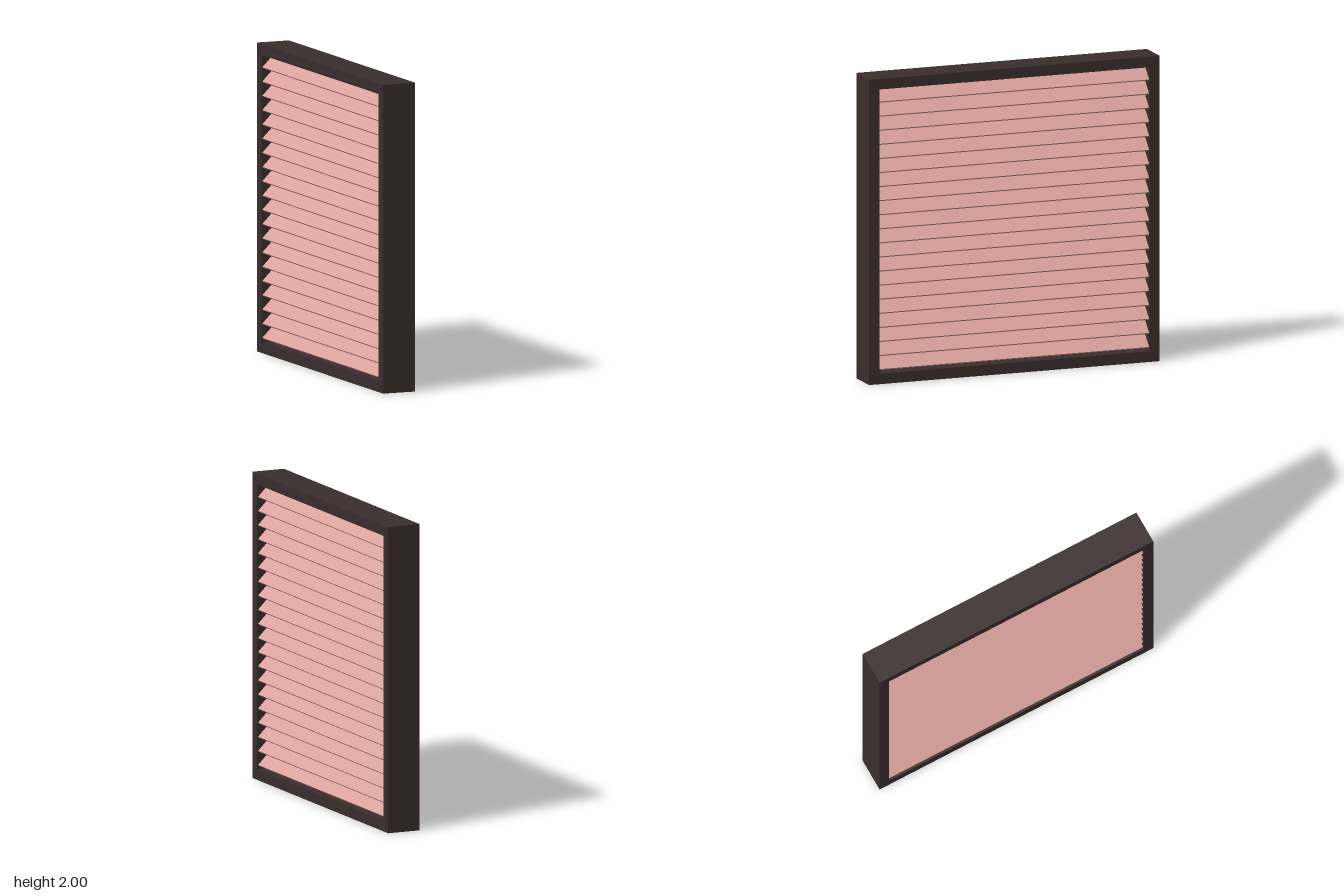
import * as THREE from 'three';

const HALF_DEPTH = 0.112;   // half the frame depth along x
const INNER = 0.93;         // half the opening size
const SLATS = 20;

function rect(path, h) {
  path.moveTo(-h, -h);
  path.lineTo(h, -h);
  path.lineTo(h, h);
  path.lineTo(-h, h);
  path.closePath();
  return path;
}

export function createModel() {
  const model = new THREE.Group();
  model.name = 'louverPanel';
  const frameMat = new THREE.MeshStandardMaterial({ color: 0x3a2e2d });
  const slatMat = new THREE.MeshStandardMaterial({ color: 0xdba29c });
  const screwMat = new THREE.MeshStandardMaterial({ color: 0x25262b });

  const add = (parent, name, geometry, material, x = 0, y = 0, z = 0) => {
    const mesh = new THREE.Mesh(geometry, material);
    mesh.name = name;
    mesh.position.set(x, y, z);
    parent.add(mesh);
    return mesh;
  };

  // Square frame with a square opening
  const frameShape = rect(new THREE.Shape(), 1);
  frameShape.holes.push(rect(new THREE.Path(), INNER));
  const frameGeo = new THREE.ExtrudeGeometry(frameShape, { depth: HALF_DEPTH * 2, bevelEnabled: false });
  frameGeo.translate(0, 0, -HALF_DEPTH).rotateY(Math.PI / 2);
  add(model, 'frame', frameGeo, frameMat, 0, 1, 0);

  // Solid core behind both rows of slats
  add(model, 'corePanel', new THREE.BoxGeometry(0.05, INNER * 2, INNER * 2), frameMat, 0, 1, 0);

  // Slat section: slopes down and outwards at 45 degrees, with a square-cut lip
  const section = new THREE.Shape([
    [0.022, 0.083], [0.022, 0.066], [0.0965, -0.0085], [0.105, 0],
  ].map(([x, y]) => new THREE.Vector2(x, y)));
  const slatGeo = new THREE.ExtrudeGeometry(section, { depth: INNER * 2, bevelEnabled: false });
  slatGeo.translate(0, 0, -INNER);

  const screwGeo = new THREE.CylinderGeometry(0.007, 0.007, 0.006, 12).rotateZ(Math.PI / 2);

  // Both faces carry the same slats and corner screws
  for (const [name, turn] of [['leftFace', 0], ['rightFace', Math.PI]]) {
    const face = new THREE.Group();
    face.name = name;
    face.rotation.y = turn;
    for (let i = 0; i < SLATS; i++) {
      add(face, 'slat', slatGeo, slatMat, 0, 0.097 + i * 0.0922, 0);
    }
    for (const y of [0.033, 1.967]) {
      for (const z of [-0.967, 0.967]) add(face, 'screw', screwGeo, screwMat, HALF_DEPTH, y, z);
    }
    model.add(face);
  }
  return model;
}
